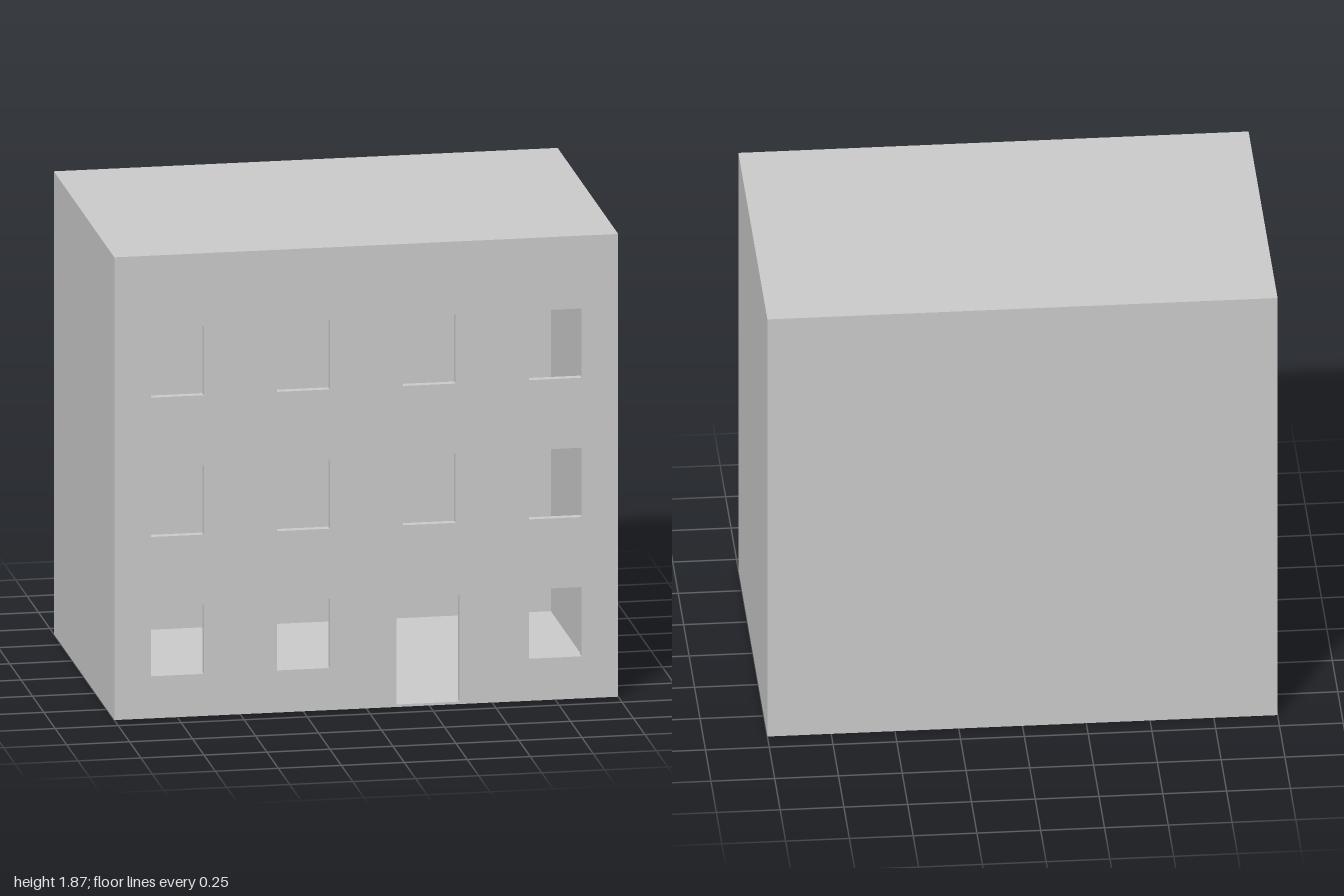
import * as THREE from 'three';

const W = 2, H = 1.87, D = 1.33;   // outside size
const T = 0.033;                   // wall thickness
const FLOOR = 0.008;               // floor slab thickness

// Openings in the facade: [left, bottom, right, top]
const windows = [];
for (const y of [0.17, 0.733, 1.296]) {
  for (const x of [-0.75, -0.25, 0.25, 0.75]) {
    if (y < 0.5 && x === 0.25) continue; // the door takes this bay
    windows.push([x - 0.105, y, x + 0.105, y + 0.28]);
  }
}
const door = [0.12, 0.01, 0.37, 0.44];
const openings = [...windows, door];

const material = new THREE.MeshStandardMaterial({ color: 0xcccccc });

function mesh(name, geometry) {
  const m = new THREE.Mesh(geometry, material);
  m.name = name;
  return m;
}

// Box between two corners that keeps only the listed sides (0..5 = +x -x +y -y +z -z)
function openBox([x0, y0, z0], [x1, y1, z1], sides) {
  const g = new THREE.BoxGeometry(x1 - x0, y1 - y0, z1 - z0);
  g.translate((x0 + x1) / 2, (y0 + y1) / 2, (z0 + z1) / 2);
  const all = Array.from(g.index.array);
  g.setIndex(sides.flatMap((s) => all.slice(s * 6, s * 6 + 6)));
  g.clearGroups();
  return g;
}

// Turns a geometry inside out
function flip(g) {
  g.setIndex(Array.from(g.index.array).reverse());
  const n = g.attributes.normal;
  for (let i = 0; i < n.count; i++) n.setXYZ(i, -n.getX(i), -n.getY(i), -n.getZ(i));
  return g;
}

function rectangle(path, [x0, y0, x1, y1]) {
  return path.moveTo(x0, y0).lineTo(x1, y0).lineTo(x1, y1).lineTo(x0, y1).closePath();
}

// Flat wall face pierced by every opening
function facade(bounds, z) {
  const shape = rectangle(new THREE.Shape(), bounds);
  for (const o of openings) shape.holes.push(rectangle(new THREE.Path(), o));
  return new THREE.ShapeGeometry(shape).translate(0, 0, z);
}

export function createModel() {
  const group = new THREE.Group();
  group.name = 'building';
  const x = W / 2, z = D / 2;
  const withoutFront = [0, 1, 2, 3, 5];

  // Outside: sides, back, roof and base, then the front
  group.add(mesh('outerWalls', openBox([-x, 0, -z], [x, H, z], withoutFront)));
  group.add(mesh('frontFacade', facade([-x, 0, x, H], z)));

  // Hollow inside
  const inner = openBox([-x + T, FLOOR, -z + T], [x - T, H - T, z - T], withoutFront);
  group.add(mesh('innerWalls', flip(inner)));
  group.add(mesh('innerFacade', flip(facade([-x + T, FLOOR, x - T, H - T], z - T))));

  // Reveals through the thickness of the front wall
  for (const o of openings) {
    const reveal = openBox([o[0], o[1], z - T], [o[2], o[3], z], [0, 1, 2, 3]);
    group.add(mesh(o === door ? 'doorReveal' : 'windowReveal', flip(reveal)));
  }
  return group;
}
